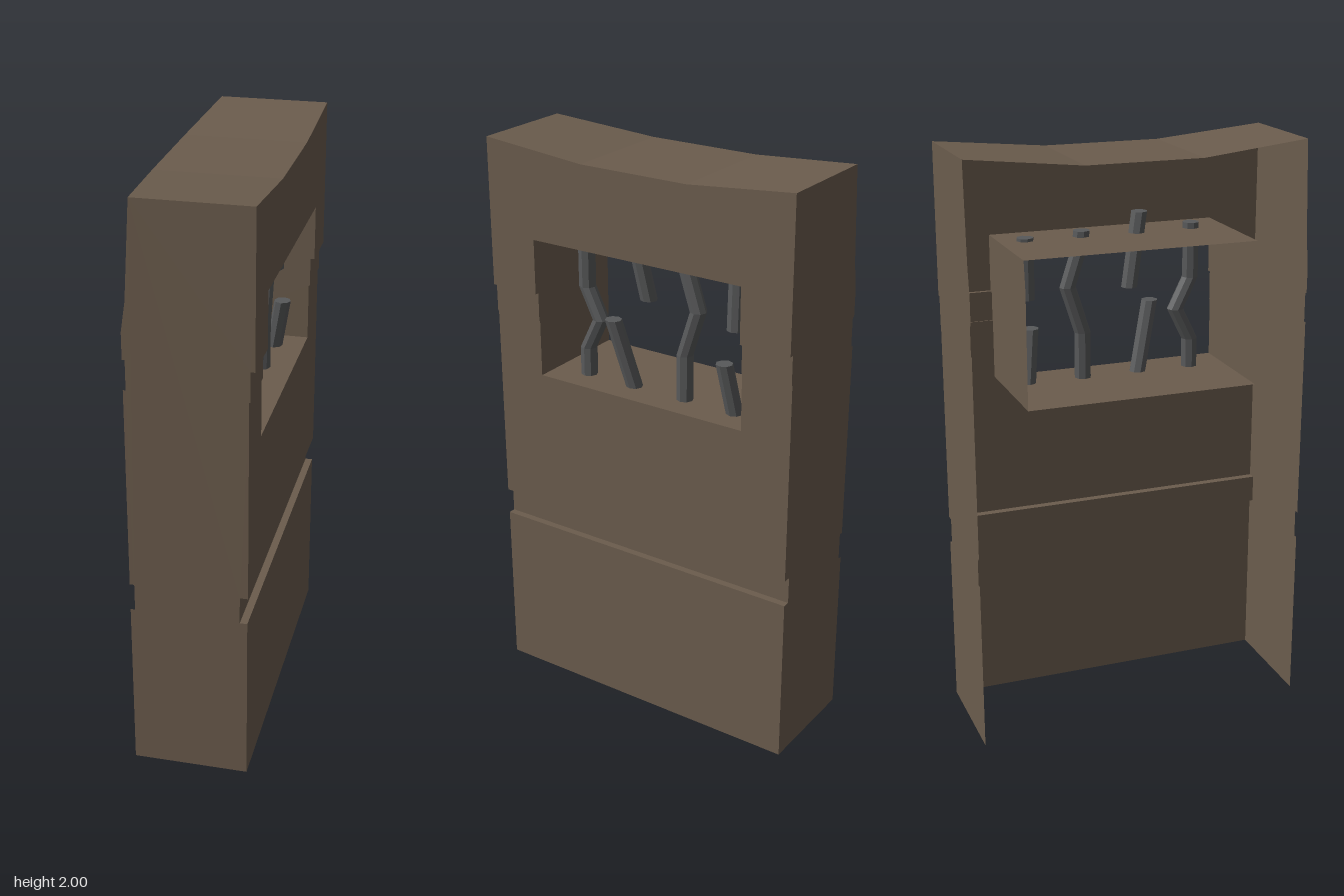
import * as THREE from 'three';

const HALF = 0.58;               // half length of the wall
const WIN = 0.4, SILL = 1.19, LINTEL = 1.68;

// outer face and rear edge as [x, y], bottom to top
const FACE = [[0.185, 0], [0.185, 0.6], [0.16, 0.6], [0.16, 0.695], [0.187, 0.695], [0.187, SILL],
  [0.187, 1.39], [0.191, 1.39], [0.191, 1.49], [0.205, 1.49], [0.205, LINTEL], [0.205, 2]];
const REAR = [[-0.205, 0], [-0.205, 0.6], [-0.19, 0.6], [-0.19, 0.695], [-0.205, 0.695], [-0.205, 1.39],
  [-0.196, 1.39], [-0.196, 1.49], [-0.205, 1.49], [-0.205, 1.58], [-0.19, LINTEL], [-0.17, 2]];

// sagging top edge: 0 at the middle, 1 at the ends
const rise = z => Math.max(0, (Math.abs(z) - 0.2) / (HALF - 0.2));
const topY = z => 1.965 + 0.035 * rise(z);

// flat-shaded sheet through rows of points, with optional gaps
function sheet(rows, skip = () => false) {
  const pos = [];
  for (let i = 0; i < rows.length - 1; i++) {
    for (let j = 0; j < rows[i].length - 1; j++) {
      const a = rows[i][j], b = rows[i][j + 1], c = rows[i + 1][j + 1], d = rows[i + 1][j];
      if (!skip(a, c)) pos.push(...a, ...b, ...c, ...a, ...c, ...d);
    }
  }
  const g = new THREE.BufferGeometry();
  g.setAttribute('position', new THREE.Float32BufferAttribute(pos, 3));
  g.computeVertexNormals();
  return g;
}

// bent bar: one horizontal ring of a cylinder at each path point
function barGeometry(path) {
  const n = path.length - 1;
  const g = new THREE.CylinderGeometry(0.029, 0.029, n, 8, n);
  const p = g.attributes.position;
  for (let i = 0; i < p.count; i++) {
    const [x, y, z] = path[Math.round(p.getY(i) + n / 2)];
    p.setXYZ(i, p.getX(i) + x, y, p.getZ(i) + z);
  }
  const flat = g.toNonIndexed();
  flat.computeVertexNormals();
  return flat;
}

export function createModel() {
  const group = new THREE.Group();
  const stone = new THREE.MeshStandardMaterial({ color: 0x6b5c4d, side: THREE.DoubleSide });
  stone.name = 'brown stone';
  const iron = new THREE.MeshStandardMaterial({ color: 0x58595a });
  iron.name = 'dark iron';
  const add = (name, geometry, material) => {
    const m = new THREE.Mesh(geometry, material);
    m.name = name;
    group.add(m);
  };

  // grooved main face with the window left open
  const cols = [HALF, WIN, 0.2, -0.2, -WIN, -HALF];
  add('mainFace', sheet(
    FACE.map(([x, y]) => cols.map(z => [x, y === 2 ? topY(z) : y, z])),
    (a, c) => a[1] >= SILL && c[1] <= LINTEL && a[2] <= WIN && c[2] >= -WIN
  ), stone);

  // sagging top
  add('top', sheet([HALF, 0.2, -0.2, -HALF].map(z => [
    [-0.205 + 0.035 * rise(z), topY(z), z], [0.205, topY(z), z]])), stone);

  // end walls, notched on both edges
  const outline = new THREE.Shape([...FACE, ...REAR.slice().reverse()].map(p => new THREE.Vector2(...p)));
  for (const side of [1, -1]) {
    const g = new THREE.ShapeGeometry(outline);
    if (side < 0) {
      g.rotateY(Math.PI);
      g.scale(-1, 1, 1);
      g.index.array.reverse();
      g.computeVertexNormals();
    }
    g.translate(0, 0, side * HALF);
    add(side > 0 ? 'frontEndWall' : 'backEndWall', g, stone);
  }

  // window lining: [rear x, front x, y] up one jamb, mirrored for the other
  const jamb = [[-0.203, 0.187, SILL], [-0.203, 0.187, 1.39], [-0.203, 0.191, 1.391], [-0.203, 0.191, 1.489],
    [-0.203, 0.205, 1.49], [-0.203, 0.205, 1.58], [-0.19, 0.205, LINTEL]];
  const edge = z => jamb.map(([r, f, y]) => [[r, y, z], [f, y, z]]);
  add('windowLining', sheet([...edge(-WIN), ...edge(WIN).reverse(), edge(-WIN)[0]]), stone);

  // bent and broken bars
  const bars = {
    kinkedBar: [[0.08, 1.17, 0.276], [0.08, 1.29, 0.276], [0.08, 1.4, 0.222], [0.08, 1.51, 0.276], [0.08, 1.7, 0.276]],
    brokenBarUpper: [[0.055, 1.5, 0.043], [0.08, 1.75, 0.088]],
    brokenBarLower: [[0.08, 1.17, 0.08], [0.12, 1.43, 0.142]],
    bowedBar: [[0.08, 1.17, -0.117], [0.08, 1.35, -0.117], [0.08, 1.51, -0.168], [0.08, 1.65, -0.122], [0.08, 1.7, -0.117]],
    snappedBarUpper: [[0.085, 1.48, -0.311], [0.08, 1.69, -0.313]],
    snappedBarLower: [[0.08, 1.17, -0.315], [0.115, 1.37, -0.29]],
  };
  for (const [name, path] of Object.entries(bars)) add(name, barGeometry(path), iron);

  return group;
}
